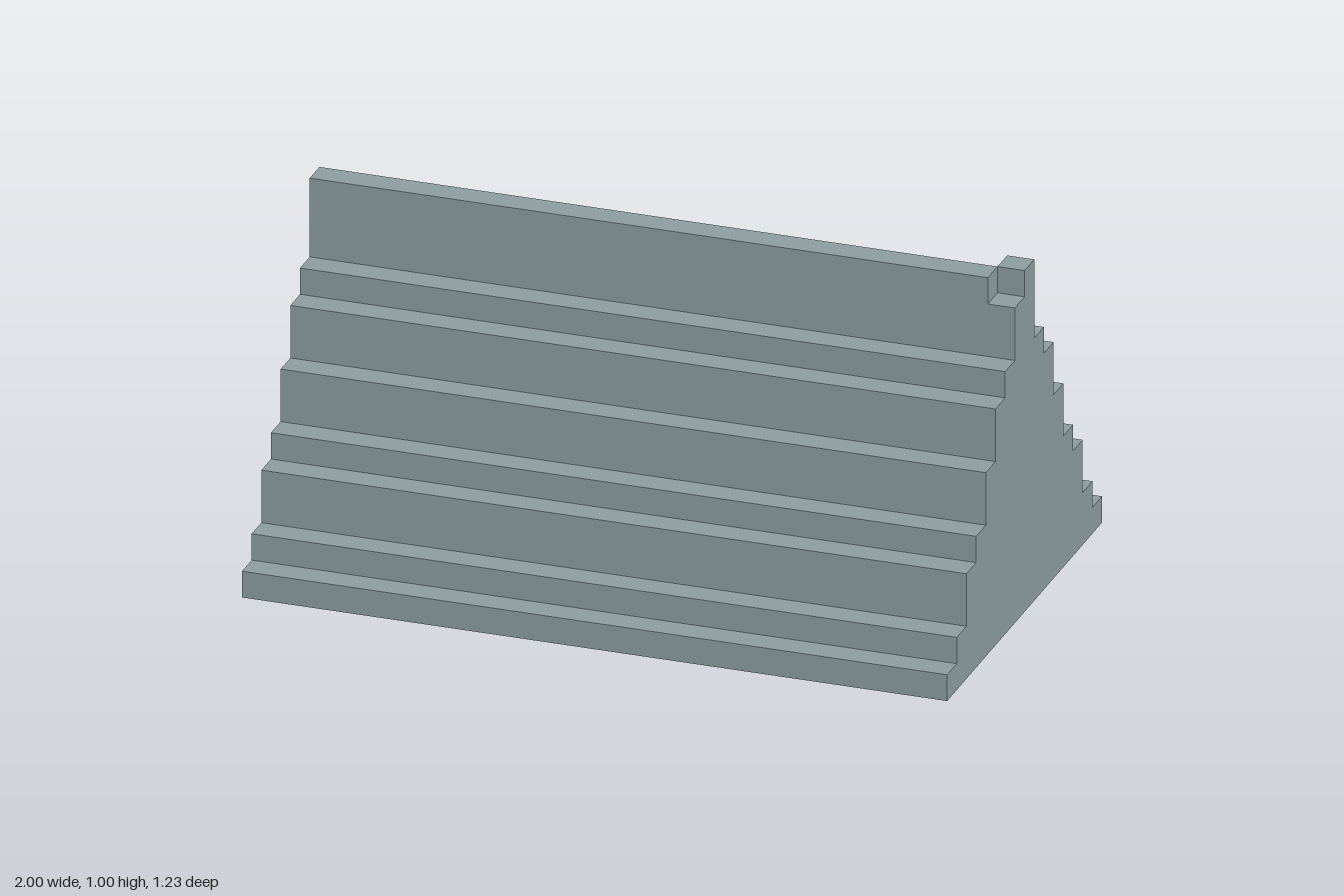
import * as THREE from 'three';

const U = 1 / 13; // one block
const LENGTH = 26 * U;

export function createModel() {
  const model = new THREE.Group();
  model.name = 'steppedRoof';
  const slate = new THREE.MeshStandardMaterial({ color: 0x8c9da0 });
  slate.name = 'slate grey';

  // Symmetric stepped gable: height of each step, from the eaves inward
  const heights = [1, 2, 4, 5, 7, 9, 10, 12];
  const half = [];
  heights.forEach((h, i) => {
    const w = heights.length - i;
    half.push([w, i ? heights[i - 1] : 0], [w, h]);
  });
  const mirrored = half.map(([w, h]) => [-w, h]).reverse();
  const outline = [...half, ...mirrored].map(([w, h]) => new THREE.Vector2(w * U, h * U));

  // Extrude along the length, turned so the gables face left and right
  const body = new THREE.ExtrudeGeometry(new THREE.Shape(outline), { depth: LENGTH, bevelEnabled: false });
  body.translate(0, 0, -LENGTH / 2).rotateY(Math.PI / 2);
  const steps = new THREE.Mesh(body, slate);
  steps.name = 'steppedBody';
  model.add(steps);

  // Top course: a front ridge, offset to the back for the last block
  const addRidge = (name, x0, x1, z) => {
    const ridge = new THREE.Mesh(new THREE.BoxGeometry((x1 - x0) * U, U, U), slate);
    ridge.name = name;
    ridge.position.set(((x0 + x1) / 2) * U, 12.5 * U, z * U);
    model.add(ridge);
  };
  addRidge('ridge', -13, 12, 0.5);
  addRidge('ridgeEndBlock', 12, 13, -0.5);

  return model;
}
